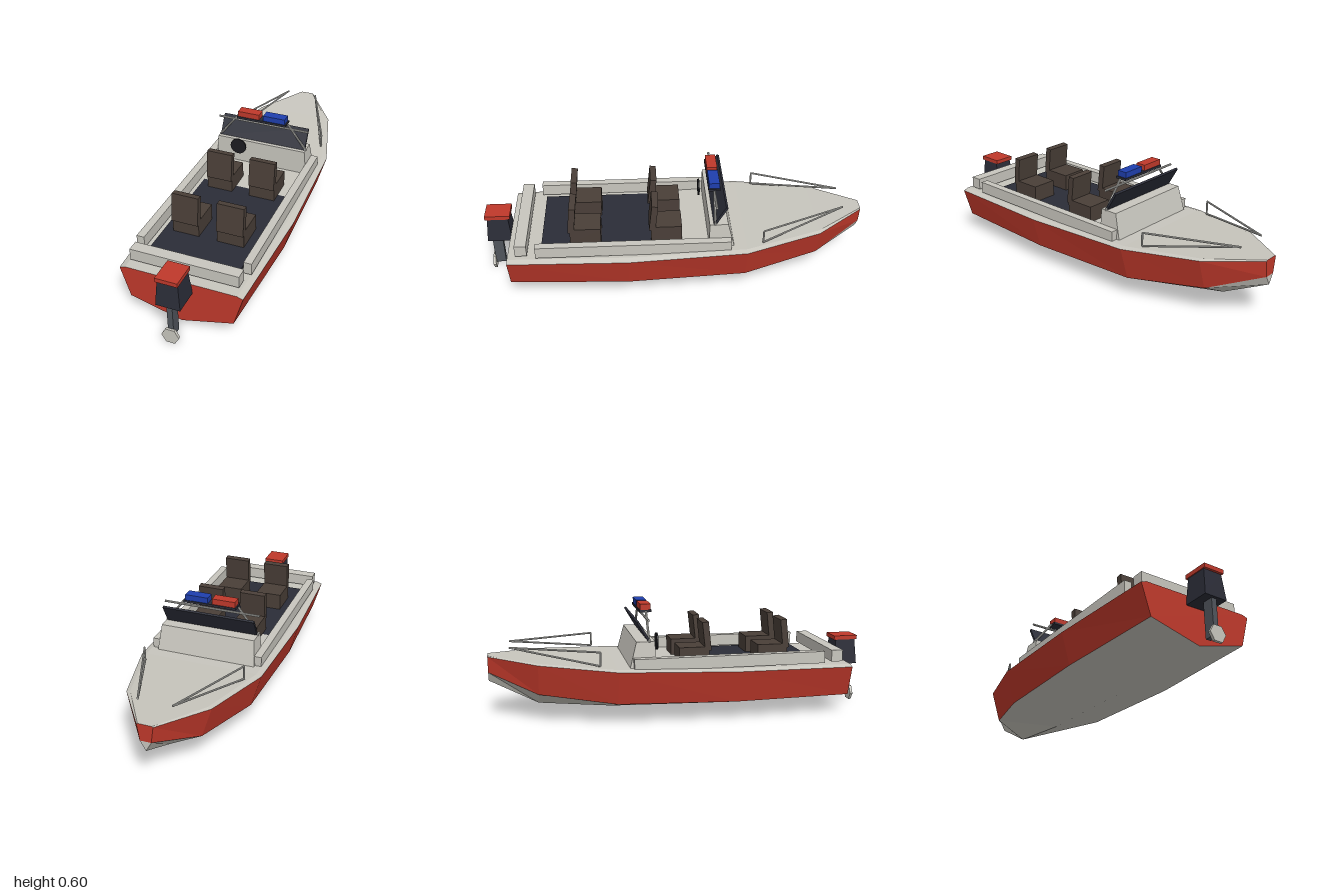
import * as THREE from 'three';

const mat = (name, color) => Object.assign(new THREE.MeshStandardMaterial({ color, flatShading: true }), { name });

export function createModel() {
  const boat = new THREE.Group();
  boat.name = 'patrolBoat';
  const white = mat('offWhite', 0xc8c6be);
  const red = mat('red', 0xc0392b);
  const dark = mat('darkNavy', 0x2b2d38);
  const brown = mat('seatBrown', 0x4a3f38);
  const blue = mat('blue', 0x1f3fae);
  const steel = mat('legGrey', 0x50555c);
  const metal = mat('railMetal', 0xc4c4bf);
  const black = mat('wheelBlack', 0x1c1c20);

  const add = (name, geo, material, x = 0, y = 0, z = 0, parent = boat) => {
    const m = new THREE.Mesh(geo, material);
    m.name = name;
    m.position.set(x, y, z);
    parent.add(m);
    return m;
  };
  // box given by its min and max on each axis
  const block = (name, material, [x0, x1], [y0, y1], [z0, z1]) =>
    add(name, new THREE.BoxGeometry(x1 - x0, y1 - y0, z1 - z0), material, (x0 + x1) / 2, (y0 + y1) / 2, (z0 + z1) / 2);
  // round bar between two points
  const bar = (name, material, a, b, r = 0.006) => {
    const p = new THREE.Vector3(...a), q = new THREE.Vector3(...b);
    const m = add(name, new THREE.CylinderGeometry(r, r, p.distanceTo(q), 8), material);
    m.position.copy(p).lerp(q, 0.5);
    m.quaternion.setFromUnitVectors(new THREE.Vector3(0, 1, 0), q.sub(p).normalize());
  };
  const facets = (tris) => {
    const g = new THREE.BufferGeometry();
    g.setAttribute('position', new THREE.Float32BufferAttribute(tris.flat(), 3));
    g.computeVertexNormals();
    return g;
  };
  // surface through cross-sections, stern to bow
  const skin = (rows) => {
    const t = [];
    for (let i = 0; i < rows.length - 1; i++)
      for (let j = 0; j < rows[i].length - 1; j++) {
        const a = rows[i][j], b = rows[i][j + 1], c = rows[i + 1][j + 1], d = rows[i + 1][j];
        t.push(a, b, c, a, c, d);
      }
    return facets(t);
  };
  const fan = (pts) => {
    const t = [];
    for (let i = 1; i < pts.length - 1; i++) t.push(pts[0], pts[i], pts[i + 1]);
    return facets(t);
  };

  // Hull stations: z, sheer half-width, sheer y, deck half-width, deck y, chine half-width, chine y, keel y
  const stations = [
    [0.87, 0.312, 0.259, 0.283, 0.269, 0.265, 0.1, 0.03],
    [0.25, 0.339, 0.268, 0.31, 0.279, 0.293, 0.1, 0.016],
    [-0.36, 0.324, 0.288, 0.297, 0.296, 0.272, 0.112, 0.03],
    [-0.75, 0.215, 0.316, 0.195, 0.322, 0.165, 0.155, 0.068],
    [-1, 0.04, 0.334, 0.034, 0.339, 0.028, 0.25, 0.2],
  ].map(([z, sw, sy, dw, dy, cw, cy, ky]) => {
    const P = (x, y) => [x, y, z];
    return {
      deck: [P(-sw, sy), P(-dw, dy), P(dw, dy), P(sw, sy)],
      left: [P(sw, sy), P(cw, cy)],
      bottom: [P(cw, cy), P(0, ky), P(-cw, cy)],
      right: [P(-cw, cy), P(-sw, sy)],
    };
  });
  const rows = (k) => stations.map((s) => s[k]);
  add('deck', skin(rows('deck')), white);
  add('hullSideLeft', skin(rows('left')), red);
  add('hullSideRight', skin(rows('right')), red);
  add('hullBottom', skin(rows('bottom')), white);
  const stern = stations[0], bow = stations[4];
  add('transom', fan([...stern.deck, ...stern.bottom].reverse()), red);
  add('stemUpper', fan([...bow.deck, bow.bottom[0], bow.bottom[2]]), red);
  add('stemLower', fan(bow.bottom), white);

  // Cockpit floor, side coamings and stern bench
  block('cockpitFloor', dark, [-0.235, 0.235], [0.272, 0.284], [0, 0.7]);
  for (const s of [-1, 1])
    add('coaming', new THREE.BoxGeometry(0.04, 0.062, 1), white, s * 0.275, 0.314, 0.222);
  block('sternBench', white, [-0.276, 0.276], [0.284, 0.345], [0.767, 0.827]);

  // Seats, with backs leaning a little forward
  for (const z of [0.47, 0.05])
    for (const x of [-0.118, 0.118]) {
      const seat = new THREE.Group();
      seat.name = 'seat';
      seat.position.set(x, 0, z);
      boat.add(seat);
      add('seatBase', new THREE.BoxGeometry(0.139, 0.088, 0.16), brown, 0, 0.328, 0, seat);
      add('seatBack', new THREE.BoxGeometry(0.139, 0.152, 0.033), brown, 0, 0.426, 0.066, seat).rotation.x = -0.11;
    }

  // Console: a box narrowed towards its top
  const consoleGeo = new THREE.BoxGeometry(1, 1, 1);
  const cp = consoleGeo.attributes.position;
  for (let i = 0; i < cp.count; i++) {
    const top = cp.getY(i) > 0;
    cp.setXYZ(i, Math.sign(cp.getX(i)) * (top ? 0.25 : 0.263), top ? 0.424 : 0.285,
      cp.getZ(i) > 0 ? -0.167 : top ? -0.262 : -0.298);
  }
  consoleGeo.computeVertexNormals();
  add('console', consoleGeo, white);
  add('windscreen', new THREE.BoxGeometry(0.49, 0.122, 0.012), dark, 0, 0.471, -0.222).rotation.x = -0.53;
  add('steeringWheel', new THREE.CylinderGeometry(0.045, 0.045, 0.008, 16).rotateX(Math.PI / 2), black, -0.12, 0.4, -0.138);

  // Arch and light bar
  for (const s of [-1, 1]) bar('archPost', metal, [s * 0.25, 0.42, -0.196], [s * 0.143, 0.56, -0.196]);
  bar('archCrossbar', metal, [-0.256, 0.531, -0.2], [0.256, 0.531, -0.2]);
  block('lightBarBase', dark, [-0.14, 0.14], [0.555, 0.567], [-0.228, -0.166]);
  block('redLight', red, [-0.134, -0.012], [0.567, 0.597], [-0.224, -0.17]);
  block('blueLight', blue, [0.011, 0.133], [0.567, 0.597], [-0.224, -0.17]);

  // Bow rails
  for (const s of [-1, 1]) {
    const foot = [s * 0.263, 0.312, -0.445], top = [s * 0.263, 0.382, -0.445], tip = [s * 0.085, 0.387, -0.888];
    bar('bowRailPost', metal, foot, top, 0.005);
    bar('bowRailTop', metal, top, tip, 0.005);
    bar('bowRailStrut', metal, foot, tip, 0.005);
  }

  // Outboard motor
  const cowl = new THREE.CylinderGeometry(0.051, 0.062, 0.138, 4, 1).toNonIndexed();
  cowl.rotateY(Math.PI / 4).scale(Math.SQRT2, 1, Math.SQRT2 * 1.06).computeVertexNormals();
  add('motorCowl', cowl, dark, 0, 0.286, 0.934);
  block('motorCap', red, [-0.056, 0.056], [0.353, 0.375], [0.868, 1]);
  block('motorLeg', steel, [-0.014, 0.014], [0.033, 0.22], [0.93, 0.985]);
  add('propeller', new THREE.CylinderGeometry(0.045, 0.045, 0.014, 6).rotateX(Math.PI / 2).rotateZ(Math.PI / 2), white, 0, 0.039, 0.989);

  return boat;
}
